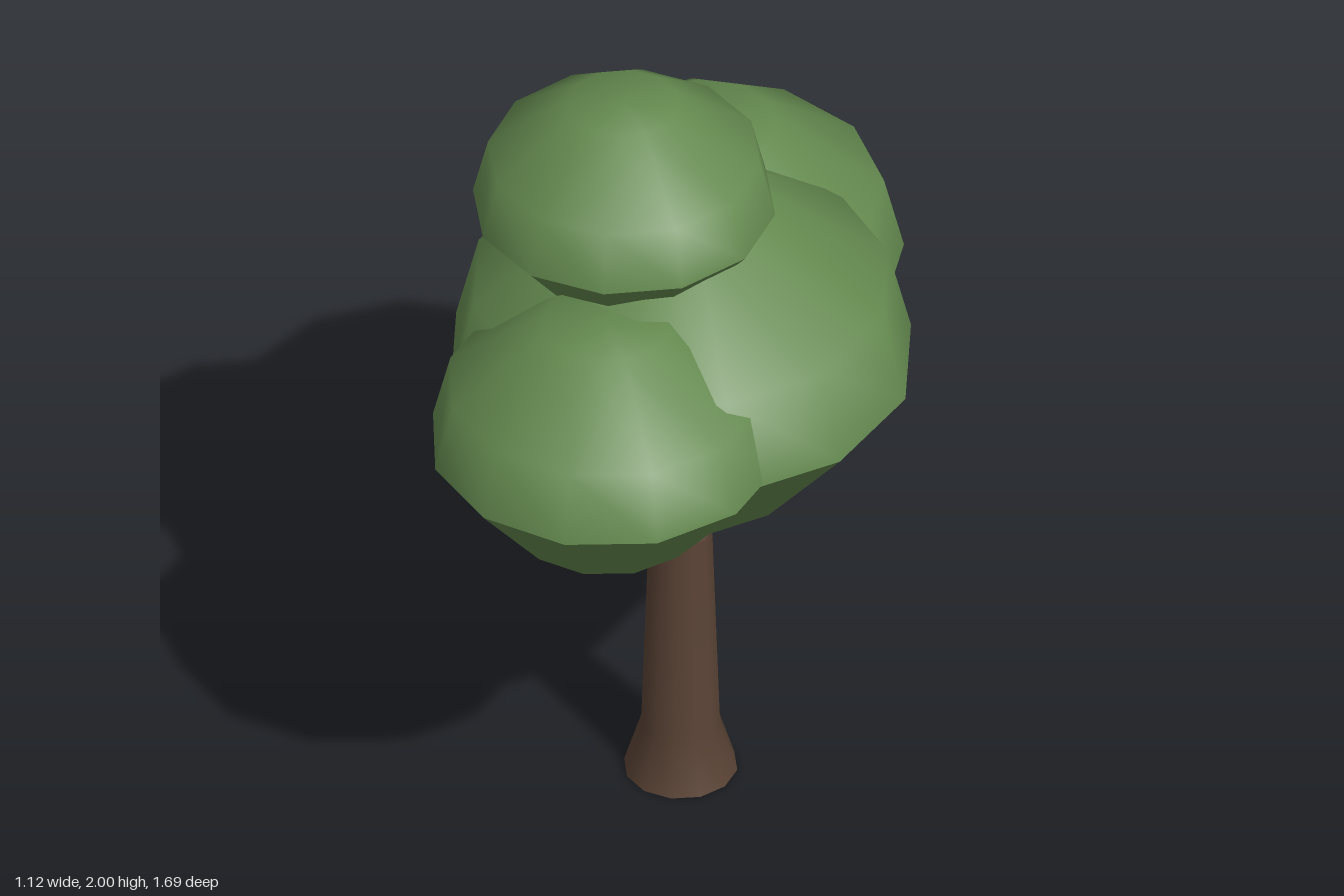
import * as THREE from 'three';
import { mergeGeometries } from 'three/addons/utils/BufferGeometryUtils.js';

const leafGreen = new THREE.MeshStandardMaterial({ color: 0x64894f });
leafGreen.name = 'leaf green';
const barkBrown = new THREE.MeshStandardMaterial({ color: 0x5a4335 });
barkBrown.name = 'bark brown';

// Each profile is lathed on its own, so edges between profiles stay sharp
function lathed(profiles, sides, turn) {
  return mergeGeometries(profiles.map((profile) => new THREE.LatheGeometry(
    profile.map(([r, y]) => new THREE.Vector2(r, y)), sides, turn, Math.PI * 2)));
}

// Leaf clump: flat underside, flared skirt and smooth faceted dome, origin at the rim
const clumpProfiles = [
  [[0, -0.543], [0.55, -0.543]],
  [[0.55, -0.543], [1, 0]],
  [[1, 0], [0.9, 0.41], [0.36, 0.82], [0, 0.82]],
];

function clump(name, radius, x, y, z, degrees) {
  const geometry = lathed(clumpProfiles, 12, THREE.MathUtils.degToRad(degrees));
  const mesh = new THREE.Mesh(geometry, leafGreen);
  mesh.name = name;
  mesh.scale.setScalar(radius);
  mesh.position.set(x, y, z);
  return mesh;
}

// Straight six-sided branch between two points
function branch(name, from, to) {
  const start = new THREE.Vector3(...from);
  const end = new THREE.Vector3(...to);
  const direction = end.clone().sub(start);
  const geometry = new THREE.CylinderGeometry(0.043, 0.047, direction.length(), 6).toNonIndexed();
  geometry.computeVertexNormals();
  const mesh = new THREE.Mesh(geometry, barkBrown);
  mesh.name = name;
  mesh.position.copy(start).add(end).multiplyScalar(0.5);
  mesh.quaternion.setFromUnitVectors(new THREE.Vector3(0, 1, 0), direction.normalize());
  return mesh;
}

export function createModel() {
  const tree = new THREE.Group();
  tree.name = 'tree';

  // Trunk with a flared foot
  const trunk = new THREE.Mesh(lathed([
    [[0, 0], [0.138, 0]],
    [[0.138, 0], [0.096, 0.14], [0.077, 0.72]],
    [[0.077, 0.72], [0, 0.73]],
  ], 12, 0), barkBrown);
  trunk.name = 'trunk';
  trunk.position.z = 0.062;
  tree.add(trunk);

  // Forked branches
  tree.add(branch('frontBranch', [-0.01, 0.69, 0.075], [-0.09, 1.1, 0.37]));
  tree.add(branch('backBranch', [-0.01, 0.69, 0.06], [0.01, 1.1, -0.32]));

  // Foliage
  tree.add(clump('middleFoliage', 0.567, 0, 1.24, 0.06, -8));
  tree.add(clump('frontFoliage', 0.43, -0.12, 1.245, 0.42, -4));
  tree.add(clump('backFoliage', 0.48, -0.015, 1.22, -0.375, 13.5));
  tree.add(clump('topFoliage', 0.367, -0.136, 1.7, 0.075, 2));
  return tree;
}
